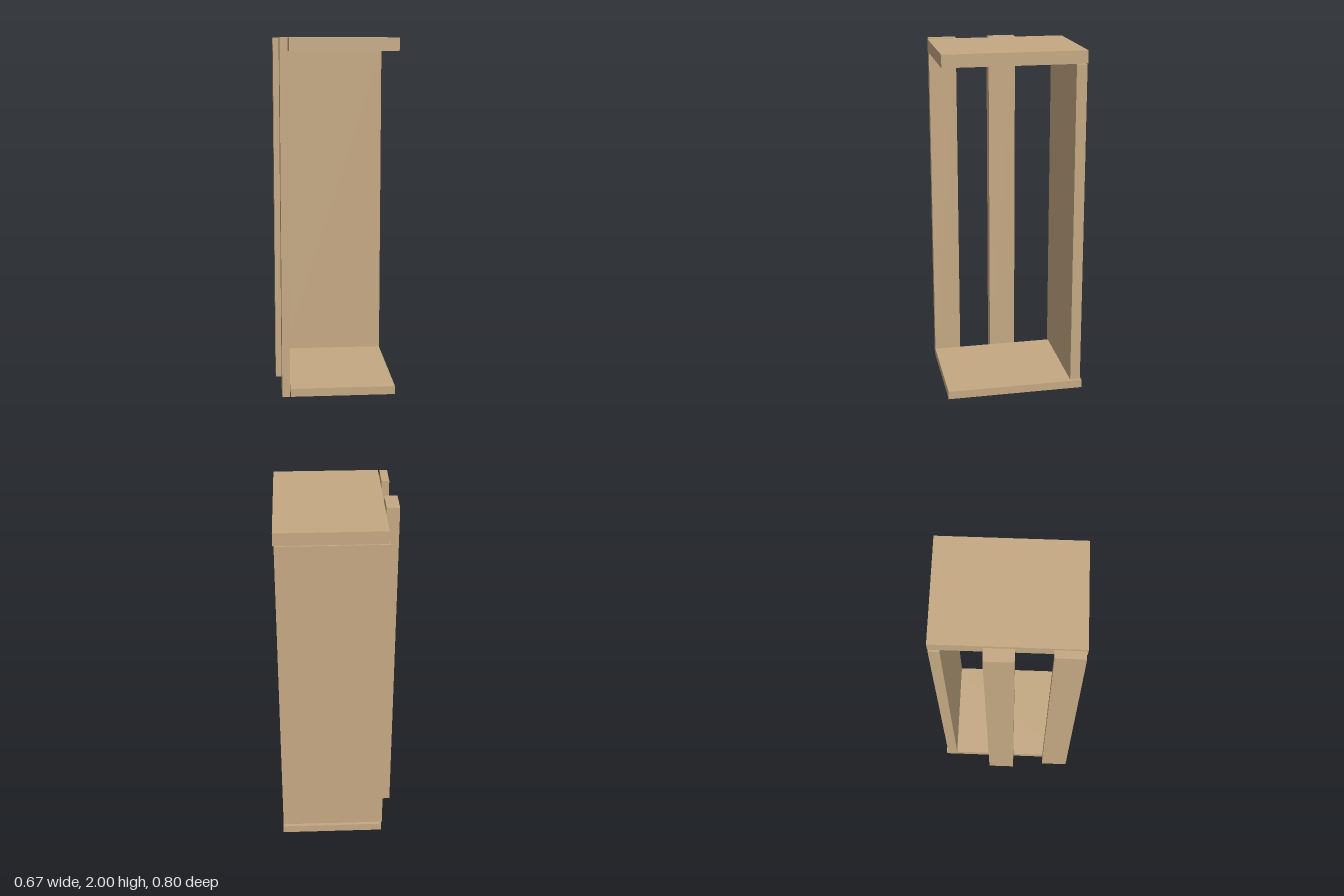
import * as THREE from 'three';

export function createModel() {
  const group = new THREE.Group();
  const wood = new THREE.MeshStandardMaterial({ color: 0xc4a882 });

  // Board given by its extents along each axis
  const board = (name, [x0, x1], [y0, y1], [z0, z1]) => {
    const mesh = new THREE.Mesh(new THREE.BoxGeometry(x1 - x0, y1 - y0, z1 - z0), wood);
    mesh.position.set((x0 + x1) / 2, (y0 + y1) / 2, (z0 + z1) / 2);
    mesh.name = name;
    group.add(mesh);
  };

  // Horizontal boards
  board('bottomPanel', [-0.261, 0.331], [0, 0.047], [-0.401, 0.393]);
  board('topPanel', [-0.257, 0.335], [1.926, 1.997], [-0.393, 0.4]);

  // Upright back board
  board('backPanel', [-0.265, 0.329], [0.055, 1.921], [-0.391, -0.332]);

  // Posts standing along the right side
  board('middlePost', [-0.336, -0.265], [0, 1.997], [-0.115, 0.042]);
  board('frontPost', [-0.308, -0.265], [0, 2], [0.234, 0.392]);

  return group;
}
